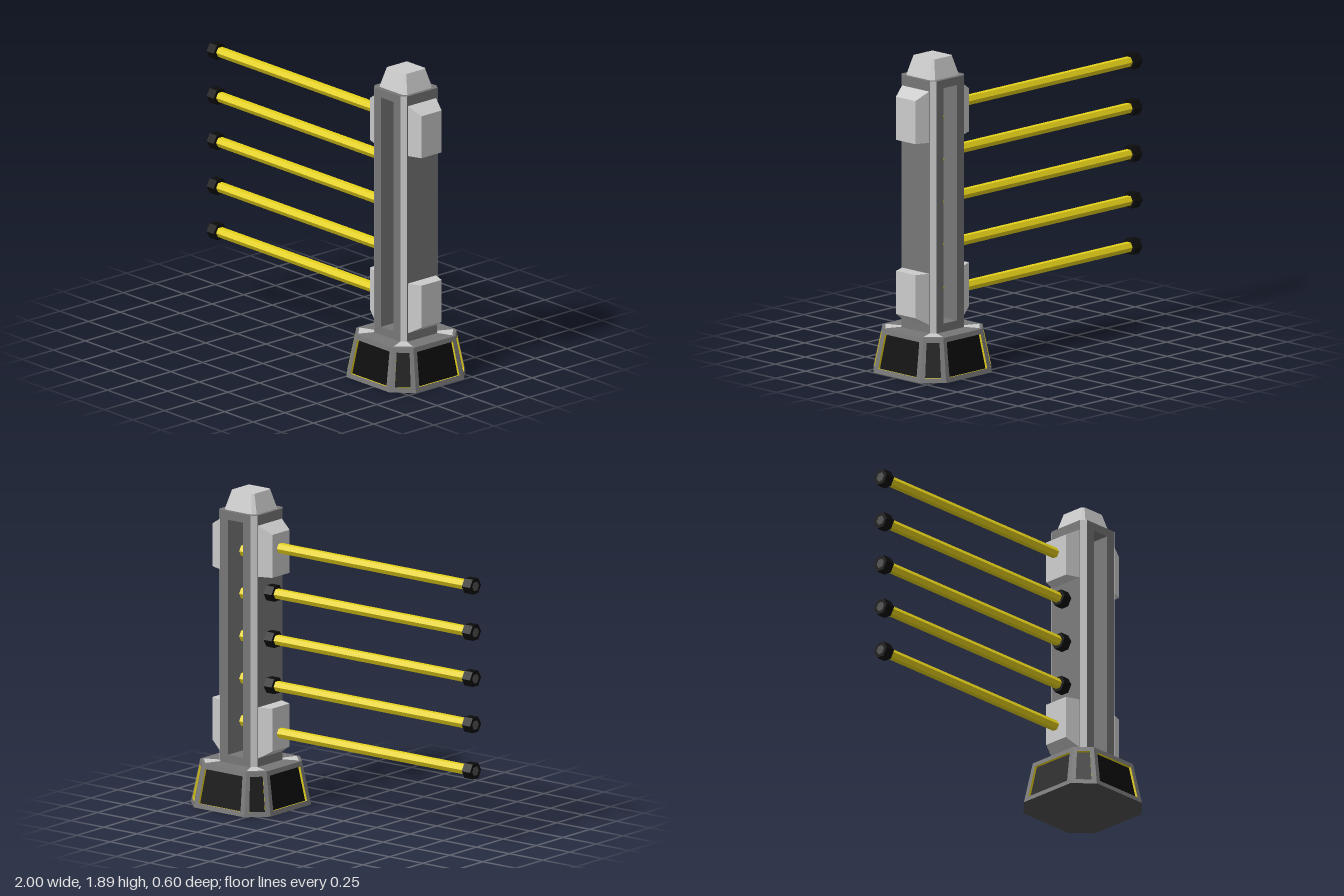
import * as THREE from 'three';
import { ConvexGeometry } from 'three/addons/geometries/ConvexGeometry.js';
import { mergeGeometries } from 'three/addons/utils/BufferGeometryUtils.js';

const paint = (color) => new THREE.MeshStandardMaterial({ color, flatShading: true, side: THREE.DoubleSide });
const light = paint(0xcccccc), dark = paint(0x777777), black = paint(0x0c0c0c), yellow = paint(0xe6d21a), shade = paint(0x505050);
const V = (x, y, z) => new THREE.Vector3(x, y, z);

function add(parent, name, geometry, material) {
  const mesh = new THREE.Mesh(geometry, material);
  mesh.name = name;
  parent.add(mesh);
  return mesh;
}

// chamfered rectangle at height y, starting at the front face, counter-clockwise from above
function octagon(hx, hz, c, y) {
  const fx = hx - c, fz = hz - c;
  return [[-fx, hz], [fx, hz], [hx, fz], [hx, -fz], [fx, -hz], [-fx, -hz], [-hx, -fz], [-hx, fz]]
    .map(([x, z]) => V(x, y, z));
}

// flat four-sided face, corners counter-clockwise from outside
function quad(a, b, c, d) {
  const g = new THREE.BufferGeometry().setFromPoints([a, b, c, a, c, d]);
  g.computeVertexNormals();
  return g;
}

const BASE_TOP = 0.26, POST_TOP = 1.78;

// tapered base: framed openings with yellow edges and black recessed panels
function makeBase() {
  const base = new THREE.Group();
  base.name = 'base';
  const low = octagon(0.3, 0.3, 0.11, 0), high = octagon(0.25, 0.25, 0.085, BASE_TOP);
  const frames = [], reveals = [], panels = [];
  for (let i = 0; i < 8; i++) {
    const j = (i + 1) % 8;
    const P = [low[i], low[j], high[j], high[i]];
    const u = 0.03 / low[i].distanceTo(low[j]), v = 0.11;
    const at = (s, t) => P[0].clone().lerp(P[1], s).lerp(P[3].clone().lerp(P[2], s), t);
    const Q = [at(u, v), at(1 - u, v), at(1 - u, 1 - v), at(u, 1 - v)];
    const n = P[1].clone().sub(P[0]).cross(P[3].clone().sub(P[0])).normalize();
    const R = Q.map((q) => q.clone().addScaledVector(n, -0.015));
    for (let k = 0; k < 4; k++) {
      const m = (k + 1) % 4;
      frames.push(quad(P[k], P[m], Q[m], Q[k]));
      reveals.push(quad(Q[k], Q[m], R[m], R[k]));
    }
    panels.push(quad(...R));
  }
  add(base, 'baseFrame', mergeGeometries(frames), dark);
  add(base, 'basePanelEdges', mergeGeometries(reveals), yellow);
  add(base, 'basePanels', mergeGeometries(panels), black);
  add(base, 'baseTop', new ConvexGeometry([...octagon(0.252, 0.252, 0.086, 0.25), ...high]), dark);
  add(base, 'baseBottom', new ConvexGeometry([...low, ...octagon(0.298, 0.298, 0.109, 0.01)]), shade);
  // lighter plates at the four corners of the top
  const outer = octagon(0.235, 0.235, 0.08, BASE_TOP + 0.002), inner = octagon(0.142, 0.145, 0.028, BASE_TOP + 0.002);
  for (let i = 1; i < 8; i += 2) {
    const j = (i + 1) % 8;
    add(base, 'baseCornerPlate', quad(outer[i], outer[j], inner[j], inner[i]), light);
  }
  return base;
}

// post: two pillars either side of a through slot, closed at both ends
function makePost() {
  const post = new THREE.Group();
  post.name = 'post';
  const slot = 0.055, hz = 0.145;
  for (const side of [-1, 1]) {
    const points = [BASE_TOP, POST_TOP].flatMap((y) => [
      ...octagon(0.142, hz, 0.028, y).filter((p) => p.x * side > 0),
      V(side * slot, y, hz), V(side * slot, y, -hz),
    ]);
    add(post, 'postPillar', new ConvexGeometry(points), dark);
  }
  for (const y of [BASE_TOP + 0.025, POST_TOP - 0.025]) {
    add(post, 'slotEnd', new THREE.BoxGeometry(2 * slot, 0.05, 2 * hz), dark).position.y = y;
  }
  // lighter chamfer strips
  const a = octagon(0.143, 0.146, 0.028, BASE_TOP), b = octagon(0.143, 0.146, 0.028, POST_TOP);
  for (let i = 1; i < 8; i += 2) {
    const j = (i + 1) % 8;
    add(post, 'postChamfer', quad(a[i], a[j], b[j], b[i]), light);
  }
  add(post, 'postCap', new ConvexGeometry([
    ...octagon(0.12, 0.118, 0.022, POST_TOP), ...octagon(0.085, 0.085, 0.012, 1.895),
  ]), light);
  // clamps on both sides: square towards the middle, sloped towards the ends
  for (const side of [-1, 1]) {
    for (const [flat, slope, end] of [[1.41, 1.67, 1.72], [0.62, 0.36, 0.31]]) {
      const points = [-1, 1].flatMap((s) => [
        V(side * 0.14, flat, s * 0.112), V(side * 0.14, end, s * 0.112),
        V(side * 0.225, flat, s * 0.08), V(side * 0.225, slope, s * 0.08),
      ]);
      add(post, 'clamp', new ConvexGeometry(points), light);
    }
  }
  return post;
}

// six-sided bar along x, flat on top
function hexBar(parent, name, x0, x1, y, radius, material) {
  const g = new THREE.CylinderGeometry(radius, radius, x1 - x0, 6);
  g.rotateZ(Math.PI / 2);
  add(parent, name, g, material).position.set((x0 + x1) / 2, y, -0.007);
}

export function createModel() {
  const model = new THREE.Group();
  model.name = 'barrier';
  const tower = new THREE.Group();
  tower.name = 'tower';
  tower.position.x = 0.698;
  tower.add(makeBase(), makePost());
  model.add(tower);

  // five rails with end caps, and short bars crossing the slot
  const rails = new THREE.Group();
  rails.name = 'rails';
  model.add(rails);
  for (let i = 0; i < 5; i++) {
    const y = 0.46 + i * 0.2793;
    const middle = i > 0 && i < 4;
    hexBar(rails, 'rail', -0.95, middle ? 0.52 : 0.48, y, 0.032, yellow);
    hexBar(rails, 'railEndCap', -0.999, -0.937, y, 0.052, black);
    hexBar(rails, 'railEndSocket', -1, -0.99, y, 0.03, shade);
    if (middle) hexBar(rails, 'railInnerCap', 0.497, 0.558, y, 0.052, black);
    hexBar(rails, 'slotBar', 0.64, 0.756, 0.492 + i * 0.257, 0.036, yellow);
  }
  return model;
}
